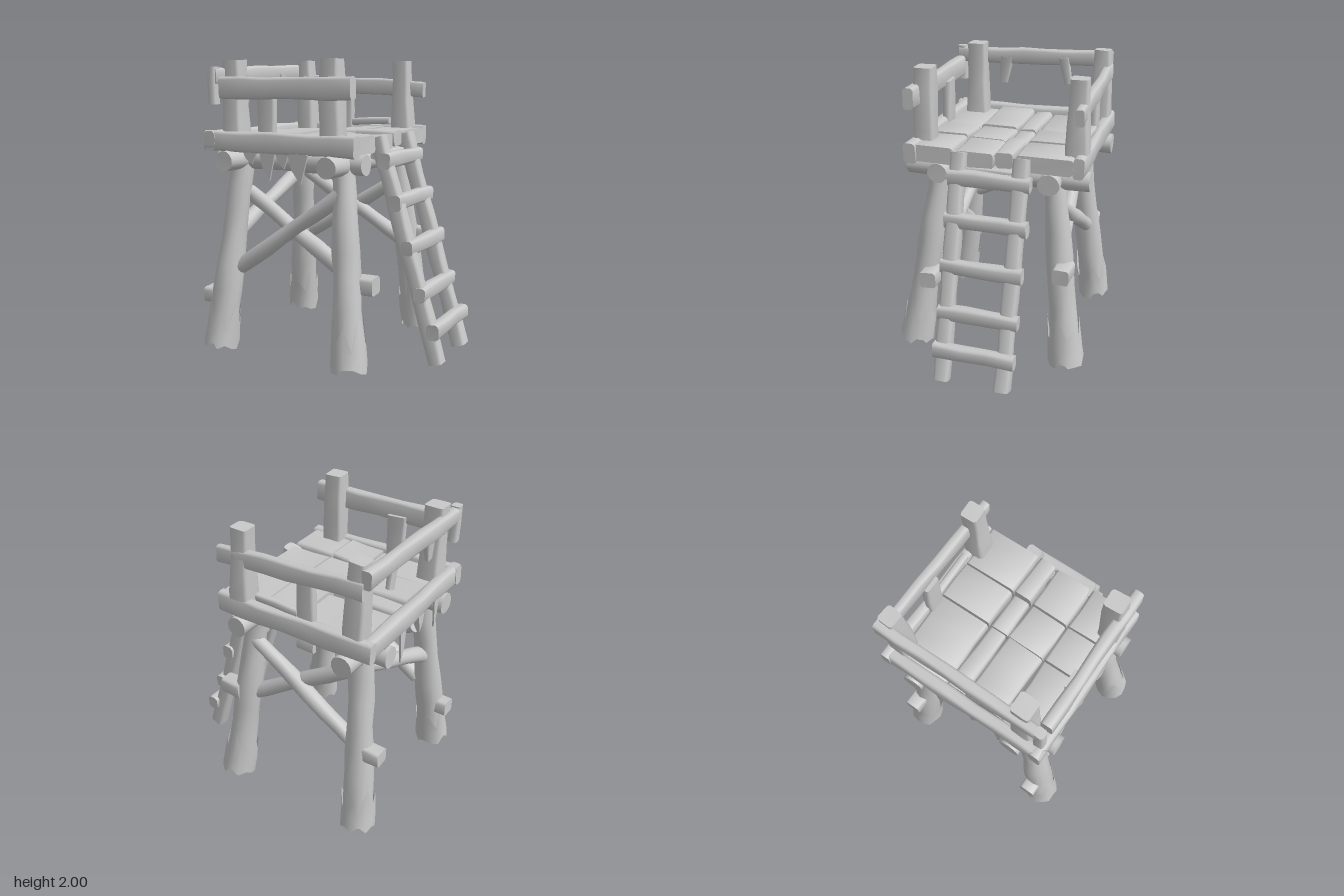
import * as THREE from 'three';
import { toCreasedNormals } from 'three/addons/utils/BufferGeometryUtils.js';

const wood = new THREE.MeshStandardMaterial({ color: 0xc8c8c8 });
wood.name = 'weathered wood';
wood.side = THREE.DoubleSide;

const V = (p) => new THREE.Vector3(...p);

// Repeatable rough-hewn offset based on position
function wobble(x, y, z, seed) {
  return Math.sin(x * 23 + y * 9 + seed * 1.7) * 0.5 + Math.sin(z * 29 - y * 13 + seed * 2.3) * 0.5;
}

function roughen(geo, amount, seed) {
  const p = geo.attributes.position;
  for (let i = 0; i < p.count; i++) {
    const x = p.getX(i), y = p.getY(i), z = p.getZ(i);
    p.setXYZ(i,
      x + amount * wobble(x, y, z, seed),
      y + amount * 0.6 * wobble(z, x, y, seed + 3),
      z + amount * wobble(z, y, x, seed + 7));
  }
}

// Places a y-aligned geometry so it runs from a to b
function place(geo, a, b) {
  const dir = V(b).sub(V(a)).normalize();
  let x = new THREE.Vector3().crossVectors(dir, new THREE.Vector3(0, 1, 0));
  if (x.lengthSq() < 0.01) x = new THREE.Vector3(1, 0, 0).addScaledVector(dir, -dir.x);
  x.normalize();
  const z = new THREE.Vector3().crossVectors(x, dir);
  const m = new THREE.Matrix4().makeBasis(x, dir, z);
  m.setPosition(V(a).add(V(b)).multiplyScalar(0.5));
  geo.applyMatrix4(m);
}

export function createModel() {
  const root = new THREE.Group();
  root.name = 'lookoutTower';
  let seed = 0;

  function add(name, geo) {
    const mesh = new THREE.Mesh(toCreasedNormals(geo, 0.9), wood);
    mesh.name = name;
    root.add(mesh);
  }

  // Round log from a (radius ra) to b (radius rb)
  function log(name, a, b, ra, rb, rough = 0.007) {
    const len = V(a).distanceTo(V(b));
    const geo = new THREE.CylinderGeometry(rb, ra, len, 14, 7);
    roughen(geo, rough, ++seed);
    place(geo, a, b);
    add(name, geo);
  }

  // Squared timber with worn edges from a to b; w across, h in the up direction, tapered at b
  function beam(name, a, b, w, h, taper = 1, rough = 0.006) {
    const len = V(a).distanceTo(V(b));
    const geo = new THREE.BoxGeometry(w, len, h, 3, Math.max(2, Math.round(len / 0.16)), 3);
    const p = geo.attributes.position;
    const bevel = Math.min(0.02, w / 4, h / 4);
    for (let i = 0; i < p.count; i++) {
      const x = p.getX(i), z = p.getZ(i);
      const atX = Math.abs(x) > w * 0.4, atZ = Math.abs(z) > h * 0.4;
      const corner = atX && atZ ? bevel * 0.35 : 0;
      const s = 1 + (taper - 1) * (p.getY(i) / len + 0.5);
      p.setX(i, Math.sign(x) * (w / 2 - (atX ? corner : bevel)) * s);
      p.setZ(i, Math.sign(z) * (h / 2 - (atZ ? corner : bevel)) * s);
    }
    roughen(geo, rough, ++seed);
    place(geo, a, b);
    add(name, geo);
  }

  // Legs with a torn bark sleeve around each foot
  const legs = [
    [[-0.7, 0.01, 0.555], [-0.6, 1.33, 0.37]], [[0.32, 0.01, 0.555], [0.18, 1.33, 0.37]],
    [[-0.7, 0.01, -0.56], [-0.6, 1.33, -0.41]], [[0.32, 0.01, -0.56], [0.18, 1.33, -0.41]],
  ];
  legs.forEach(([a, b], n) => {
    log('leg', V(a).lerp(V(b), 0.025).toArray(), b, 0.106, 0.074, 0.009);
    const top = V(a).lerp(V(b), 0.19).toArray();
    const bark = new THREE.CylinderGeometry(0.113, 0.121, V(a).distanceTo(V(top)), 14, 2, true);
    const p = bark.attributes.position;
    for (let i = 0; i < p.count; i++) {
      const k = i % 15 % 14 + n * 3;
      if (i < 15) p.setY(i, p.getY(i) + [0.1, -0.04, 0.03, -0.1, 0.12, -0.02, -0.08][k % 7]);
      else if (i >= 30) p.setY(i, p.getY(i) + [0, 0.06, 0.01, 0.035, 0.01][k % 5]);
    }
    roughen(bark, 0.006, ++seed);
    place(bark, a, top);
    add('tornBark', bark);
  });

  // Pegs nailed to the legs
  const pegs = [[-0.77, 0.62, -0.5], [-0.775, 0.37, 0.5], [0.38, 0.56, 0.41], [0.36, 0.72, -0.52]];
  for (const [x, y, z] of pegs) {
    const s = Math.sign(x);
    beam('legPeg', [x - s * 0.1, y, z], [x + s * 0.055, y, z], 0.12, 0.115, 0.95);
  }

  // Crossed braces front and back, single brace on the left
  log('frontRisingBrace', [-0.58, 0.58, 0.46], [0.19, 1.13, 0.42], 0.055, 0.05);
  log('frontFallingBrace', [-0.58, 1.09, 0.34], [0.22, 0.62, 0.41], 0.05, 0.055);
  log('backRisingBrace', [-0.6, 0.65, -0.49], [0.19, 1.13, -0.45], 0.055, 0.05);
  log('backFallingBrace', [-0.59, 1.17, -0.4], [0.22, 0.69, -0.46], 0.05, 0.055);
  log('sideBrace', [-0.63, 0.82, 0.42], [-0.6, 1.18, -0.38], 0.055, 0.05);

  // Logs carrying the platform
  for (const z of [0.35, -0.4]) log('crossLog', [-0.79, 1.32, z], [0.33, 1.32, z], 0.07, 0.07, 0.005);
  for (const x of [-0.6, 0.18]) log('lengthLog', [x, 1.32, 0.6], [x, 1.32, -0.65], 0.07, 0.07, 0.005);

  // Floor boards in three columns and four rows, thicker at the ladder side
  const columns = [[-0.69, -0.235, 0.08], [-0.225, 0.03, 0.085], [0.045, 0.335, 0.11]];
  const rows = [[-0.56, -0.185], [-0.175, -0.05], [-0.04, 0.225], [0.235, 0.52]];
  columns.forEach(([x0, x1, h], c) => rows.forEach(([z0, z1], r) => {
    const y = 1.445 + 0.01 * ((c * 2 + r) % 3 - 1);
    beam('floorBoard', [x0, y, (z0 + z1) / 2], [x1, y + 0.006, (z0 + z1) / 2], z1 - z0, h, 0.98);
  }));

  // Rim boards around the floor
  beam('frontRim', [-0.78, 1.45, 0.53], [0.355, 1.45, 0.53], 0.08, 0.135);
  beam('backRim', [-0.78, 1.45, -0.595], [0.33, 1.45, -0.595], 0.07, 0.135);
  beam('leftRim', [-0.735, 1.45, 0.57], [-0.735, 1.45, -0.62], 0.08, 0.13);
  beam('doorSill', [0.32, 1.37, 0.2], [0.32, 1.37, -0.25], 0.06, 0.05);
  beam('looseBoard', [-0.25, 1.535, -0.57], [0.06, 1.545, -0.57], 0.05, 0.05);

  // Corner posts: wide foot, narrower head
  const posts = [
    [[-0.645, 1.42, 0.385], [-0.65, 1.985, 0.385], 0.155], [[0.17, 1.42, 0.485], [0.155, 1.985, 0.475], 0.15],
    [[-0.635, 1.42, -0.55], [-0.65, 1.99, -0.545], 0.14], [[0.18, 1.42, -0.555], [0.165, 1.985, -0.55], 0.145],
  ];
  for (const [a, b, w] of posts) beam('cornerPost', a, b, w, w, 0.8);

  // Railings with short posts in the middle
  beam('frontRail', [-0.65, 1.8, 0.53], [0.33, 1.805, 0.53], 0.075, 0.14);
  beam('backRail', [-0.7, 1.83, -0.585], [0.33, 1.78, -0.585], 0.06, 0.115);
  beam('leftRail', [-0.715, 1.875, 0.55], [-0.715, 1.91, -0.6], 0.07, 0.11);
  beam('railEnd', [-0.72, 1.69, 0.53], [-0.715, 1.94, 0.53], 0.065, 0.07);
  beam('frontRailPost', [-0.315, 1.45, 0.5], [-0.315, 1.78, 0.5], 0.135, 0.06, 0.95);
  beam('backRailPost', [-0.3, 1.45, -0.56], [-0.3, 1.78, -0.56], 0.12, 0.06, 0.95);
  beam('brokenRailPost', [-0.7, 1.88, 0.18], [-0.7, 1.69, 0.2], 0.05, 0.095, 0.65);
  beam('brokenRailPost', [-0.7, 1.9, -0.25], [-0.7, 1.71, -0.295], 0.05, 0.08, 0.75);

  // Ladder leaning on the right side
  for (const z of [0.185, -0.235]) beam('ladderRail', [0.775, 0.03, z], [0.335, 1.49, z], 0.1, 0.1);
  for (const [x, y] of [[0.4, 1.34], [0.475, 1.07], [0.57, 0.78], [0.66, 0.485], [0.755, 0.25]]) {
    beam('ladderRung', [x, y, 0.24], [x + 0.005, y, -0.31], 0.08, 0.1);
  }

  // Splinters hanging from the rims: position, width, drop, and whether along z
  const splinters = [
    [-0.42, 0.545, 0.11, 0.08], [-0.28, 0.55, 0.12, 0.18], [-0.17, 0.545, 0.1, 0.1], [-0.05, 0.55, 0.15, 0.19],
    [-0.765, 0.25, 0.06, 0.2, true], [-0.76, 0.05, 0.08, 0.14, true], [-0.765, -0.2, 0.07, 0.23, true],
  ];
  for (const [x, z, w, drop, side] of splinters) {
    const shape = new THREE.Shape([[-w / 2, 0], [-w * 0.3, -drop * 0.55], [w * 0.15, -drop], [w / 2, 0]]
      .map(([u, v]) => new THREE.Vector2(u, v)));
    const geo = new THREE.ExtrudeGeometry(shape, { depth: 0.012, bevelEnabled: false });
    if (side) geo.rotateY(Math.PI / 2);
    geo.translate(x, 1.39, z);
    add('splinter', geo);
  }

  return root;
}
